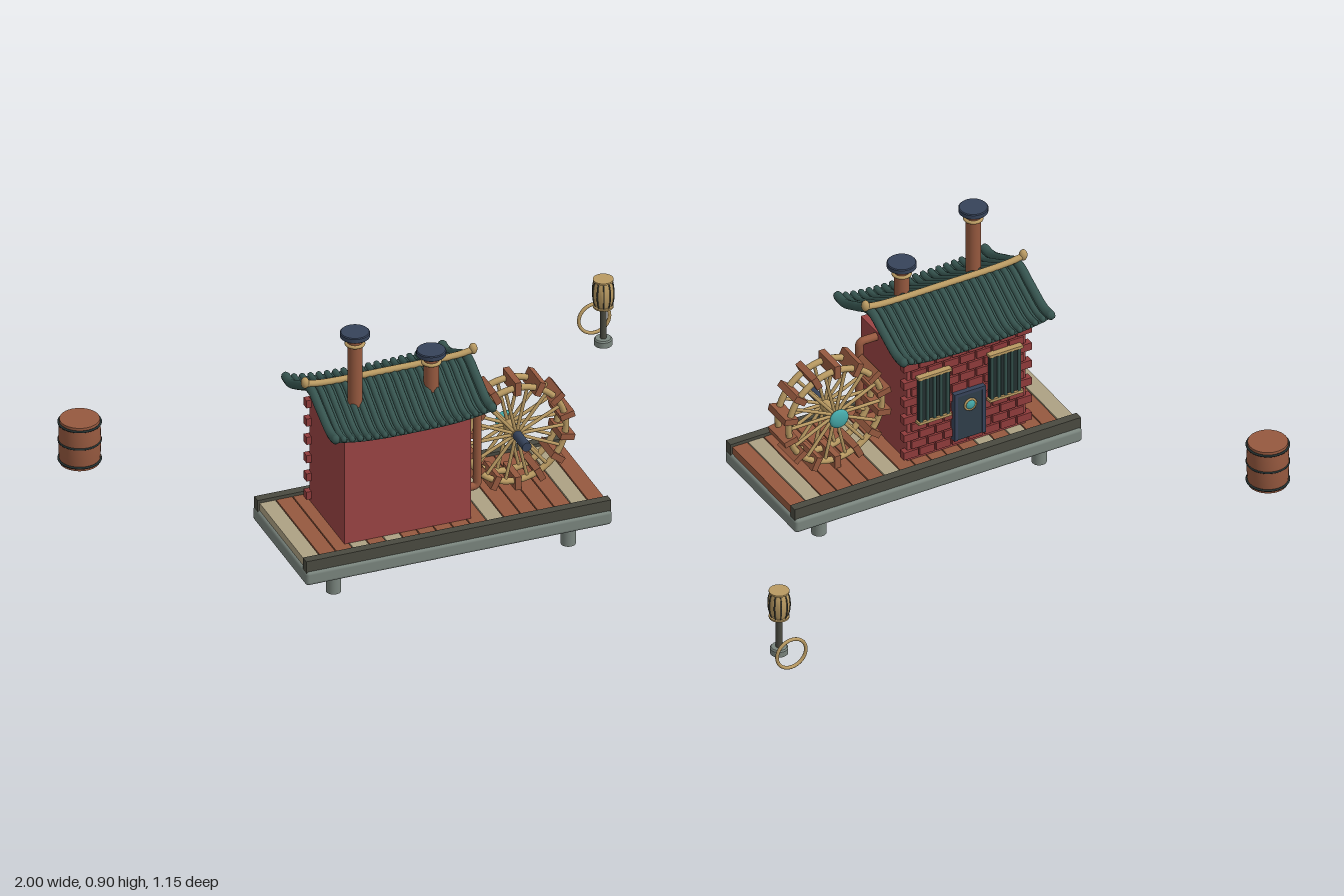
import * as THREE from 'three';
import { RoundedBoxGeometry } from 'three/addons/geometries/RoundedBoxGeometry.js';
import { toCreasedNormals } from 'three/addons/utils/BufferGeometryUtils.js';

const mat = (color, side = THREE.FrontSide) => new THREE.MeshStandardMaterial({ color, side });
const M = {
  wall: mat(0x9b4444), brick: mat(0x8f3b3b), roof: mat(0x36544f), wood: mat(0x96593f),
  tan: mat(0xb99a62), stone: mat(0x7a857e), rail: mat(0x4a4a40), navy: mat(0x36435a),
  pale: mat(0xada183), teal: mat(0x45a8a8), door: mat(0x2f3e4a), dark: mat(0x232f2f),
};
const V = (x, y, z) => new THREE.Vector3(x, y, z);

function add(parent, name, geometry, material, x = 0, y = 0, z = 0) {
  const mesh = new THREE.Mesh(geometry, material);
  mesh.name = name;
  mesh.position.set(x, y, z);
  parent.add(mesh);
  return mesh;
}
function group(parent, name, x = 0, y = 0, z = 0) {
  const g = new THREE.Group();
  g.name = name;
  g.position.set(x, y, z);
  parent.add(g);
  return g;
}
const box = (w, h, d) => new THREE.BoxGeometry(w, h, d);
const cyl = (r, h, n = 24) => new THREE.CylinderGeometry(r, r, h, n);
const lathe = (pts, n = 32) =>
  toCreasedNormals(new THREE.LatheGeometry(pts.map(p => new THREE.Vector2(...p)), n), 0.6);

// Stone deck on four legs, with cross planks and side rails
function buildDeck(root) {
  const g = group(root, 'deck');
  add(g, 'slab', new RoundedBoxGeometry(1.075, 0.052, 0.472, 2, 0.012), M.stone, 0.007, 0.105, 0.336);
  for (const x of [-0.407, 0.417]) for (const z of [0.172, 0.502])
    add(g, 'leg', cyl(0.025, 0.085), M.stone, x, 0.0425, z);
  for (const z of [0.125, 0.55]) add(g, 'rail', box(1.07, 0.045, 0.03), M.rail, 0.007, 0.147, z);
  const n = 18, w = 1.06 / n;
  for (let i = 0; i < n; i++)
    add(g, 'plank', box(w - 0.004, 0.03, 0.4), [0, 3, 5, 11, 16].includes(i) ? M.pale : M.wood,
      -0.523 + (i + 0.5) * w, 0.143, 0.337);
}

// House block with a brick back wall, door and two barred windows
function buildHouse(root) {
  const g = group(root, 'house');
  const cx = -0.142;
  add(g, 'walls', box(0.444, 0.39, 0.305), M.wall, cx, 0.355, 0.3375);
  const rows = 11, h = 0.38 / rows, pitch = 0.0606;
  for (let r = 0; r < rows; r++) {
    const count = r % 2 ? 7 : 8;
    for (let i = 0; i < count; i++)
      add(g, 'brick', box(pitch - 0.007, h - 0.006, 0.026), M.brick,
        cx + (i - (count - 1) / 2) * pitch, 0.17 + (r + 0.5) * h, 0.188);
  }
  const door = group(g, 'door', cx, 0.285, 0.17);
  add(door, 'panel', box(0.11, 0.18, 0.016), M.door);
  for (const s of [-1, 1]) add(door, 'doorPost', box(0.012, 0.18, 0.022), M.navy, s * 0.052, 0, 0);
  add(door, 'doorLintel', box(0.116, 0.012, 0.022), M.navy, 0, 0.088, 0);
  add(door, 'emblemRing', new THREE.TorusGeometry(0.02, 0.004, 8, 24), M.tan, 0, 0.04, -0.012);
  const emblem = add(door, 'emblem', new THREE.SphereGeometry(0.019, 24, 12), M.teal, 0, 0.04, -0.01);
  emblem.scale.z = 0.5;
  for (const s of [-1, 1]) {
    const win = group(g, 'window', cx + s * 0.133, 0.401, 0.168);
    add(win, 'pane', box(0.115, 0.18, 0.012), M.dark);
    for (const t of [-1, 1]) add(win, 'sill', box(0.125, 0.01, 0.024), M.tan, 0, t * 0.088, -0.002);
    for (let i = 0; i < 5; i++)
      add(win, 'bar', cyl(0.006, 0.172, 10), M.roof, (i - 2) * 0.025, 0, -0.008);
  }
  // Pipe loop on the wheel side
  const path = new THREE.CurvePath();
  const p = [V(0.07, 0.53, 0.39), V(0.125, 0.53, 0.39), V(0.143, 0.53, 0.39), V(0.143, 0.512, 0.39),
    V(0.143, 0.235, 0.39), V(0.143, 0.217, 0.39), V(0.125, 0.217, 0.39), V(0.07, 0.217, 0.39)];
  path.add(new THREE.LineCurve3(p[0], p[1]));
  path.add(new THREE.QuadraticBezierCurve3(p[1], p[2], p[3]));
  path.add(new THREE.LineCurve3(p[3], p[4]));
  path.add(new THREE.QuadraticBezierCurve3(p[4], p[5], p[6]));
  path.add(new THREE.LineCurve3(p[6], p[7]));
  add(g, 'sidePipe', new THREE.TubeGeometry(path, 64, 0.014, 12), M.wood);
}

// Swept roof whose eaves lift toward both ends
function buildRoof(root) {
  const g = group(root, 'roof', -0.147, 0, 0.34);
  const half = 0.275;
  const lift = (x, z) => 0.022 * Math.pow(Math.abs(x) / half, 3) * Math.min(1, Math.abs(z) / 0.2);
  const side = [[0.218, 0.583], [0.19, 0.582], [0.15, 0.596], [0.08, 0.637], [0, 0.677]];
  const profile = [...side, ...side.slice(0, -1).reverse().map(([z, y]) => [-z, y])];
  const curve = new THREE.SplineCurve(profile.map(q => new THREE.Vector2(...q)));
  const line = curve.getPoints(40);
  const shape = new THREE.Shape([...line, ...line.map(q => new THREE.Vector2(q.x, q.y - 0.013)).reverse()]);
  const sheet = new THREE.ExtrudeGeometry(shape, { depth: half * 2, steps: 16, bevelEnabled: false });
  sheet.translate(0, 0, -half).rotateY(Math.PI / 2);
  const pos = sheet.attributes.position;
  for (let i = 0; i < pos.count; i++) pos.setY(i, pos.getY(i) + lift(pos.getX(i), pos.getZ(i)));
  add(g, 'roofSheet', toCreasedNormals(sheet, 0.6), M.roof);
  const n = 20;
  for (let i = 0; i < n; i++) {
    const x = -half + (i / (n - 1)) * half * 2;
    const end = i === 0 || i === n - 1;
    const r = end ? 0.016 : 0.011;
    const pts = line.map(q => V(x, q.y + lift(x, q.x), q.x));
    add(g, 'tileRib', new THREE.TubeGeometry(new THREE.CatmullRomCurve3(pts), 36, r, 8), M.roof);
    for (const q of [pts[0], pts[pts.length - 1]])
      add(g, 'tileEnd', new THREE.SphereGeometry(r, 8, 6), M.roof, q.x, q.y, q.z);
  }
  // Ridge pole with egg-shaped finials
  const ridge = new THREE.CatmullRomCurve3([V(-0.3, 0.702, 0), V(-0.24, 0.693, 0), V(0, 0.69, 0),
    V(0.24, 0.693, 0), V(0.3, 0.702, 0)]);
  add(g, 'ridgePole', new THREE.TubeGeometry(ridge, 32, 0.011, 12), M.tan);
  for (const s of [-1, 1])
    add(g, 'finial', new THREE.SphereGeometry(0.014, 16, 12), M.tan, s * 0.295, 0.705, 0).scale.y = 1.45;
}

function buildChimney(root, x, top) {
  const g = group(root, 'chimney', x, 0, 0.41);
  add(g, 'stack', cyl(0.025, top - 0.59), M.wood, 0, (top + 0.59) / 2 - 0.005, 0);
  add(g, 'cap', lathe([[0, -0.01], [0.046, -0.01], [0.049, -0.007], [0.049, 0.007], [0.046, 0.01], [0, 0.01]]),
    M.navy, 0, top - 0.01, 0);
  for (const y of [0.592, top - 0.045])
    add(g, 'collar', new THREE.TorusGeometry(0.028, 0.006, 10, 28), M.tan, 0, y, 0).rotation.x = Math.PI / 2;
}

// Water wheel: two rims, spokes and paddles on a through axle
function buildWheel(root) {
  const g = group(root, 'waterWheel', 0.294, 0.358, 0.318);
  const n = 14;
  for (const z of [-0.036, 0.036]) {
    add(g, 'rim', new THREE.TorusGeometry(0.174, 0.011, 10, 56), M.tan, 0, 0, z);
    for (let i = 0; i < n; i++) {
      const a = (i / n) * Math.PI * 2;
      const spoke = add(g, 'spoke', cyl(0.006, 0.17, 8), M.tan, Math.cos(a) * 0.087, Math.sin(a) * 0.087, z);
      spoke.rotation.z = a - Math.PI / 2;
    }
  }
  for (let i = 0; i < n; i++) {
    const a = ((i + 0.5) / n) * Math.PI * 2;
    const paddle = add(g, 'paddle', box(0.05, 0.022, 0.11), M.wood, Math.cos(a) * 0.178, Math.sin(a) * 0.178, 0);
    paddle.rotation.z = a;
  }
  const along = (name, r, z0, z1, m) =>
    add(g, name, cyl(r, z1 - z0), m, 0, 0, (z0 + z1) / 2).rotation.x = Math.PI / 2;
  along('hub', 0.019, -0.06, 0.045, M.tan);
  along('axle', 0.0165, 0.03, 0.129, M.navy);
  add(g, 'hubCap', new THREE.SphereGeometry(0.035, 28, 16), M.teal, 0, 0, -0.062).scale.z = 0.36;
}

function buildBarrel(root) {
  const g = group(root, 'barrel', -0.927, 0.1, -0.422);
  add(g, 'body', lathe([[0, 0], [0.066, 0], [0.069, 0.04], [0.07, 0.082], [0.069, 0.124], [0.066, 0.162], [0, 0.162]]), M.wood);
  for (const y of [0.013, 0.084, 0.15])
    add(g, 'hoop', new THREE.TorusGeometry(0.069, 0.004, 8, 40), M.dark, 0, y, 0).rotation.x = Math.PI / 2;
}

// Lantern on a post
function buildLantern(root) {
  const g = group(root, 'lantern', 0.936, 0.1, -0.484);
  add(g, 'foot', lathe([[0, 0], [0.03, 0], [0.03, 0.02], [0.026, 0.025], [0, 0.025]], 20), M.stone);
  add(g, 'post', cyl(0.011, 0.13, 16), M.rail, 0, 0.085, 0);
  const profile = [[0.026, 0.145], [0.033, 0.165], [0.036, 0.195], [0.033, 0.226], [0.026, 0.244]];
  add(g, 'shade', lathe([[0, 0.145], ...profile, [0, 0.244]]), M.tan);
  for (const y of [0.145, 0.244]) add(g, 'plate', cyl(0.034, 0.006), M.tan, 0, y, 0);
  for (let i = 0; i < 10; i++) {
    const a = (i / 10) * Math.PI * 2;
    const pts = profile.map(([r, y]) => V(Math.cos(a) * r, y, Math.sin(a) * r));
    add(g, 'shadeRib', new THREE.TubeGeometry(new THREE.CatmullRomCurve3(pts), 12, 0.0025, 6), M.rail);
  }
}

export function createModel() {
  const root = new THREE.Group();
  root.name = 'waterMill';
  buildDeck(root);
  buildHouse(root);
  buildRoof(root);
  buildChimney(root, -0.295, 0.905);
  buildChimney(root, -0.027, 0.778);
  buildWheel(root);
  buildBarrel(root);
  buildLantern(root);
  add(root, 'looseRing', new THREE.TorusGeometry(0.054, 0.006, 10, 40), M.tan, 0.939, 0.15, -0.571);
  return root;
}
